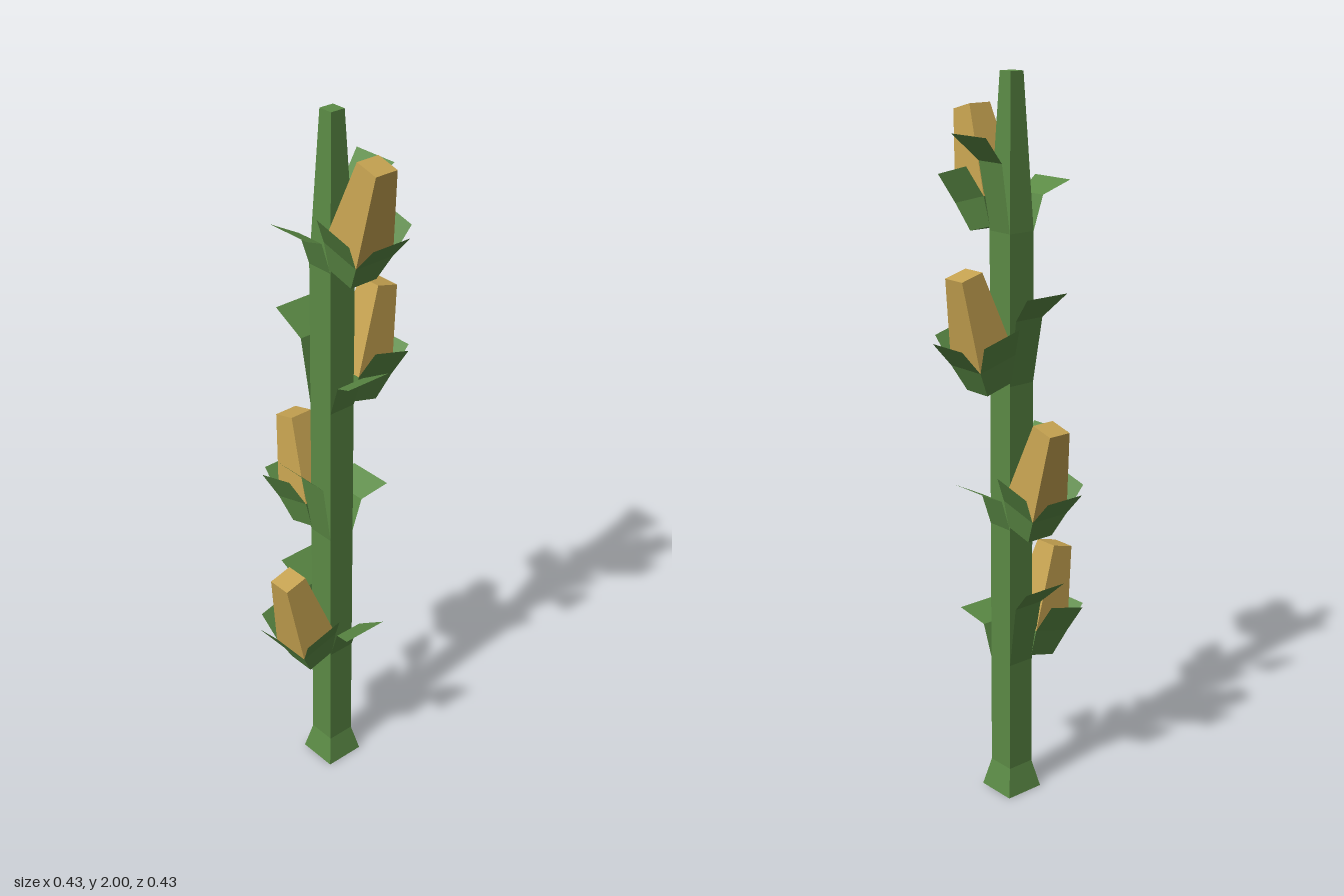
import * as THREE from 'three';

const green = new THREE.MeshStandardMaterial({ name: 'leafGreen', color: 0x5b8a45, flatShading: true });
const leafGreen = new THREE.MeshStandardMaterial({ name: 'leafGreenThin', color: 0x5b8a45, flatShading: true, side: THREE.DoubleSide });
const gold = new THREE.MeshStandardMaterial({ name: 'cobGold', color: 0xc5a250, flatShading: true });

// Square tapering block standing on y, given half widths at bottom and top
function taper(name, bottom, top, y, height, material) {
  const g = new THREE.CylinderGeometry(top * Math.SQRT2, bottom * Math.SQRT2, height, 4, 1);
  g.rotateY(Math.PI / 4).translate(0, y + height / 2, 0);
  const mesh = new THREE.Mesh(g, material);
  mesh.name = name;
  return mesh;
}

// Flat leaf growing towards +z from cross-sections [out, up, halfWidth]
function leaf(name, sections, angle) {
  const pos = [], index = [];
  sections.forEach(([out, up, half], i) => {
    pos.push(-half, up, out, half, up, out);
    if (i) {
      const a = 2 * i - 2;
      index.push(a, a + 2, a + 1, a + 1, a + 2, a + 3);
    }
  });
  const g = new THREE.BufferGeometry();
  g.setAttribute('position', new THREE.Float32BufferAttribute(pos, 3));
  g.setIndex(index);
  g.computeVertexNormals();
  const mesh = new THREE.Mesh(g, leafGreen);
  mesh.name = name;
  mesh.rotation.y = angle;
  return mesh;
}

// Cob in a flared husk with three open tips, leaning outwards
function makeCob() {
  const cob = new THREE.Group();
  cob.name = 'cob';
  cob.add(taper('huskCup', 0.0415, 0.06, 0, 0.077, green));
  cob.add(taper('kernels', 0.06, 0.034, 0.077, 0.238, gold));
  for (const side of [-1, 0, 1]) {
    cob.add(leaf('huskTip', [[0.06, 0.077, 0.06], [0.1, 0.156, 0.06]], side * Math.PI / 2));
  }
  cob.position.z = 0.077;
  cob.rotation.x = THREE.MathUtils.degToRad(15);
  return cob;
}

export function createModel() {
  const model = new THREE.Group();
  model.name = 'cornPlant';

  // Stalk
  model.add(taper('stalkFoot', 0.058, 0.04, 0, 0.08, green));
  model.add(taper('stalk', 0.04, 0.04, 0.08, 1.52, green));
  model.add(taper('stalkTip', 0.04, 0.021, 1.6, 0.4, green));

  // Four tiers, each with a cob and a low and a high leaf on opposite sides
  const lowLeaf = [[0.04, 0, 0.04], [0.07, 0.09, 0.042], [0.14, 0.125, 0.068]];
  const highLeaf = [[0.04, 0, 0.04], [0.07, 0.18, 0.045], [0.14, 0.25, 0.068]];
  const lowAngles = [Math.PI / 2, Math.PI, Math.PI / 2, 0];
  lowAngles.forEach((angle, i) => {
    const tier = new THREE.Group();
    tier.name = 'tier';
    tier.position.y = 0.4 + 0.4 * i;
    const arm = new THREE.Group();
    arm.name = 'cobArm';
    arm.rotation.y = -i * Math.PI / 2;
    arm.add(makeCob());
    tier.add(arm, leaf('lowLeaf', lowLeaf, angle), leaf('highLeaf', highLeaf, angle + Math.PI));
    model.add(tier);
  });
  return model;
}
